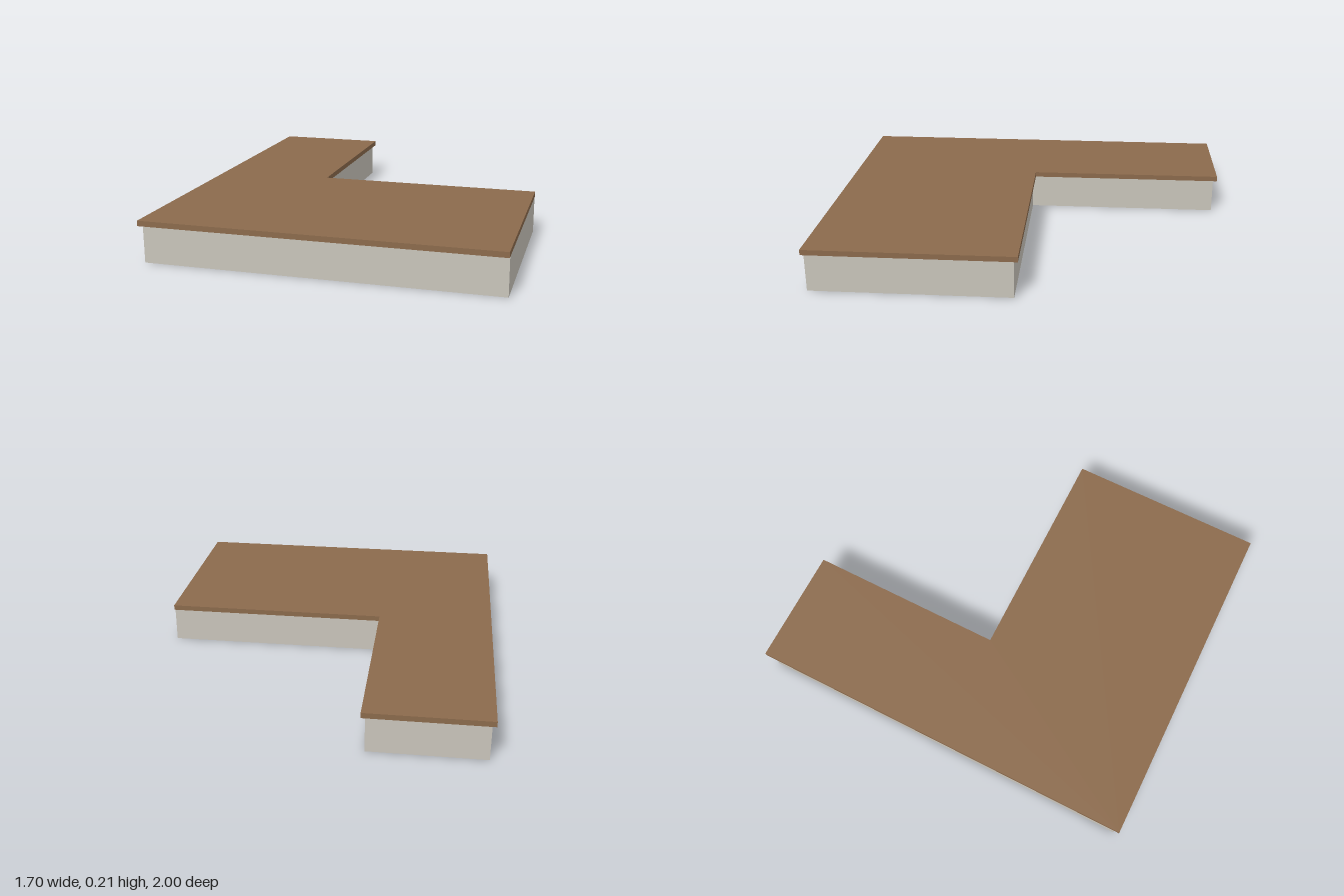
import * as THREE from 'three';

// Extrudes an L-shaped floor plan, given by its x and z limits, from y0 up to y1
function lSlab(name, { left, inner, right, back, mid, front }, y0, y1, material) {
  const outline = [
    [left, front], [right, front], [right, mid],
    [inner, mid], [inner, back], [left, back],
  ];
  const shape = new THREE.Shape(outline.map(([x, z]) => new THREE.Vector2(x, -z)));
  const geometry = new THREE.ExtrudeGeometry(shape, { depth: y1 - y0, bevelEnabled: false });
  geometry.rotateX(-Math.PI / 2);
  geometry.translate(0, y0, 0);
  const mesh = new THREE.Mesh(geometry, material);
  mesh.name = name;
  return mesh;
}

export function createModel() {
  const wood = new THREE.MeshStandardMaterial({ color: 0x8b6a4c });
  wood.name = 'brown wood';
  const stone = new THREE.MeshStandardMaterial({ color: 0xc9c5bb });
  stone.name = 'pale stone';

  const group = new THREE.Group();
  group.name = 'lShapedDeck';

  // Base, set back under the deck on every side but the flush +x end
  group.add(lSlab('base',
    { left: -0.832, inner: -0.283, right: 0.85, back: -0.982, mid: 0.018, front: 0.982 },
    0, 0.18, stone));

  // Thin overhanging deck
  group.add(lSlab('deck',
    { left: -0.85, inner: -0.265, right: 0.85, back: -1, mid: 0, front: 1 },
    0.18, 0.206, wood));

  return group;
}
